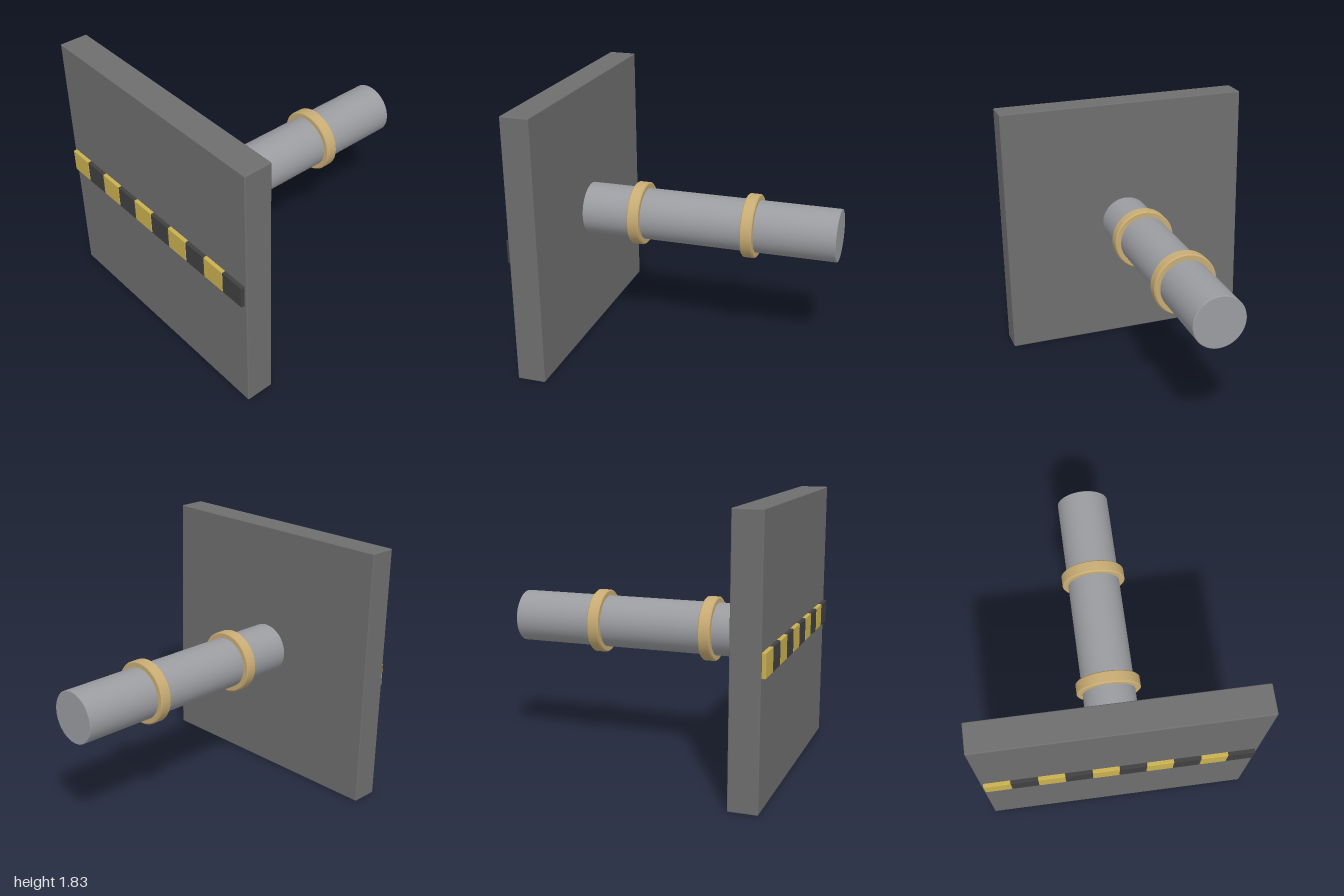
import * as THREE from 'three';
import { RoundedBoxGeometry } from 'three/addons/geometries/RoundedBoxGeometry.js';
import { toCreasedNormals } from 'three/addons/utils/BufferGeometryUtils.js';

const AXIS_Y = 0.92;

export function createModel() {
  const group = new THREE.Group();
  const material = (name, color) => {
    const m = new THREE.MeshStandardMaterial({ color });
    m.name = name;
    return m;
  };
  const plateGrey = material('plate grey', 0x6e6e6e);
  const steel = material('steel', 0x9b9ca0);
  const brass = material('brass', 0xc8ac74);
  const yellow = material('warning yellow', 0xc8b050);
  const black = material('warning black', 0x404040);

  const add = (name, geometry, mat, x, y, z) => {
    const mesh = new THREE.Mesh(geometry, mat);
    mesh.name = name;
    mesh.position.set(x, y, z);
    group.add(mesh);
    return mesh;
  };

  // Solid of revolution about the z axis, with crisp bevelled edges
  const turned = (profile) => toCreasedNormals(
    new THREE.LatheGeometry(profile.map(([r, h]) => new THREE.Vector2(r, h)), 64).rotateX(Math.PI / 2), 0.6);

  // Square push plate with slightly eased edges
  add('pushPlate', new RoundedBoxGeometry(1.83, 1.83, 0.195, 2, 0.008), plateGrey, 0, 0.915, 0.8775);

  // Rod, closed at the back and running into the plate
  add('rod', turned([[0, -1], [0.176, -1], [0.18, -0.996], [0.18, 0.79], [0, 0.79]]), steel, 0, AXIS_Y, 0);

  // Two collars around the rod
  const collar = turned([
    [0.178, -0.042], [0.212, -0.042], [0.22, -0.034],
    [0.22, 0.034], [0.212, 0.042], [0.178, 0.042],
  ]);
  for (const z of [0.4, -0.4]) add('collar', collar, brass, 0, AXIS_Y, z);

  // Alternating warning blocks across the front
  const block = new RoundedBoxGeometry(0.179, 0.16, 0.035, 2, 0.006);
  for (let i = 0; i < 10; i++) {
    add('warningBlock', block, i % 2 ? black : yellow, -0.81 + i * 0.1795, AXIS_Y, 0.9825);
  }
  return group;
}
